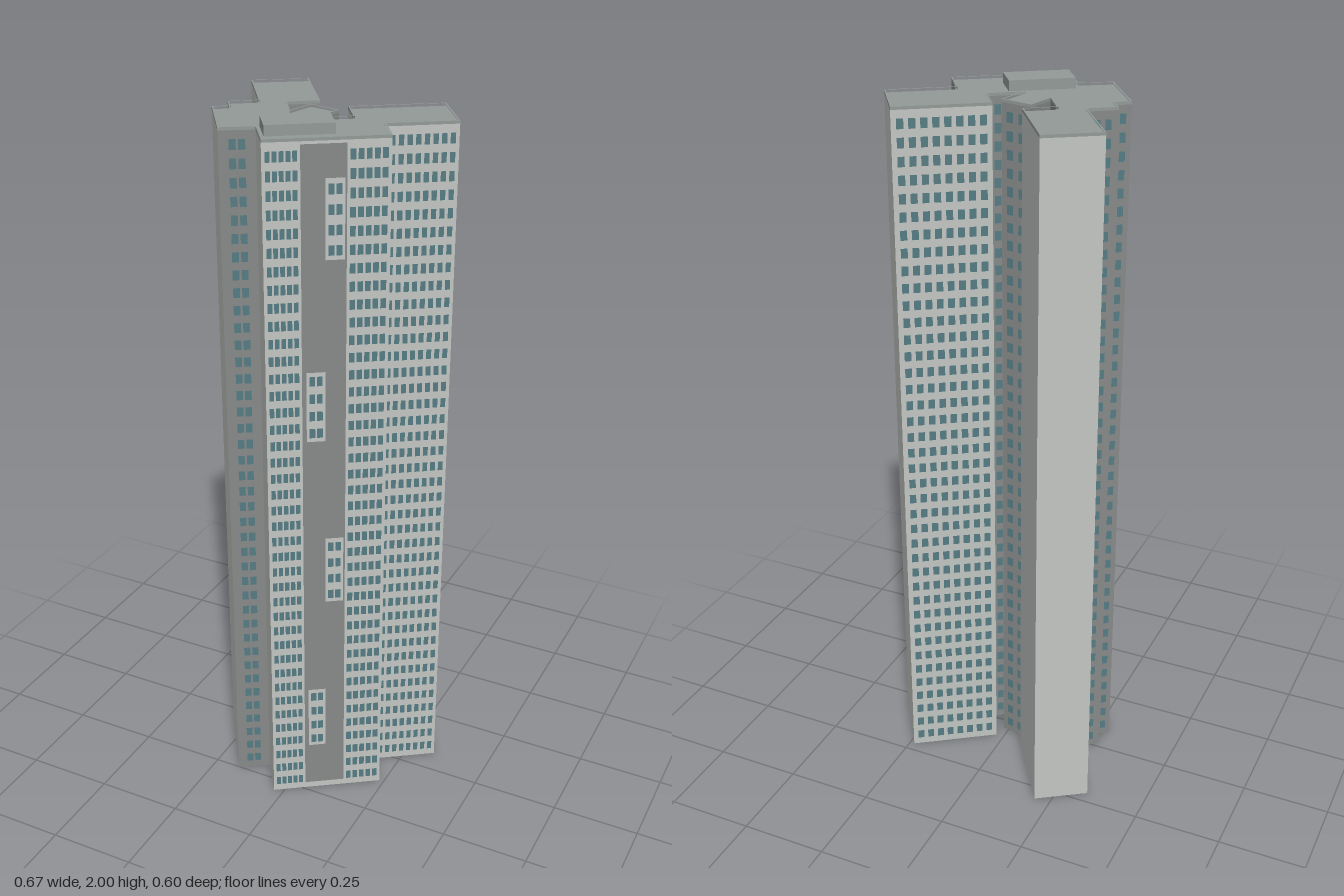
import * as THREE from 'three';
import { mergeGeometries } from 'three/addons/utils/BufferGeometryUtils.js';

const mat = (name, color, side = THREE.FrontSide) => {
  const m = new THREE.MeshStandardMaterial({ color, side });
  m.name = name;
  return m;
};

// Footprint corners as [x, z], clockwise seen from above
const PLAN = [
  [-0.335, -0.213], [-0.203, -0.3], [-0.067, -0.098], [-0.138, -0.047], [-0.091, 0.025],
  [-0.073, -0.056], [0.018, -0.035], [0.001, 0.052], [0.076, 0.002], [0.024, -0.077],
  [0.236, -0.222], [0.334, -0.075], [0.18, 0.03], [0.236, 0.117], [-0.028, 0.297],
  [-0.095, 0.2], [-0.175, 0.249], [-0.29, 0.079], [-0.254, 0.053], [-0.28, 0.014], [-0.214, -0.033],
];
const ROOF_Y = 1.972, TOP_Y = 1.98, FLOORS = 40, STEP = 1.95 / FLOORS;

// Per wall, from each corner to the next: D = dark wall, L = light wall
const TONE = 'LLDDDDDDLLLLDLLDLDLDL';

// Window columns per wall: [centre, width] as fractions of the wall length
const even = (n, a, b, fill) =>
  Array.from({ length: n }, (_, i) => [a + ((b - a) * (i + 0.5)) / n, ((b - a) / n) * fill]);
const COLUMNS = {
  2: even(2, 0.1, 0.9, 0.5),
  3: even(2, 0.1, 0.9, 0.55),
  4: even(2, 0.1, 0.9, 0.5),
  5: even(2, 0.1, 0.9, 0.55),
  6: even(2, 0.1, 0.9, 0.5),
  7: even(2, 0.1, 0.9, 0.5),
  9: even(8, 0.03, 0.97, 0.6),
  11: even(8, 0.03, 0.97, 0.62),
  12: even(2, 0.25, 0.75, 0.7),
  13: [...even(5, 0.02, 0.33, 0.72), ...even(5, 0.72, 0.98, 0.72)],
  15: even(2, 0.25, 0.75, 0.75),
  17: even(1, 0.2, 0.8, 0.6),
  19: even(2, 0.15, 0.85, 0.55),
};

// Upright rectangle on wall i, from fraction t0 to t1 and height y0 to y1
function panel(i, t0, t1, y0, y1, off = 0) {
  const [ax, az] = PLAN[i], [bx, bz] = PLAN[(i + 1) % PLAN.length];
  const dx = bx - ax, dz = bz - az, len = Math.hypot(dx, dz);
  const nx = dz / len, nz = -dx / len, t = (t0 + t1) / 2;
  return new THREE.PlaneGeometry(len * (t1 - t0), y1 - y0)
    .rotateY(Math.atan2(nx, nz))
    .translate(ax + dx * t + nx * off, (y0 + y1) / 2, az + dz * t + nz * off);
}

// Footprint moved inward by d, with mitred corners
function inset(d) {
  const n = PLAN.length;
  const dir = (i) => {
    const a = PLAN[(i + n) % n], b = PLAN[(i + 1) % n];
    const l = Math.hypot(b[0] - a[0], b[1] - a[1]);
    return [(b[1] - a[1]) / l, -(b[0] - a[0]) / l];
  };
  return PLAN.map(([x, z], i) => {
    const p = dir(i - 1), q = dir(i), k = d / (1 + p[0] * q[0] + p[1] * q[1]);
    return [x - (p[0] + q[0]) * k, z - (p[1] + q[1]) * k];
  });
}

const toPoints = (pts, s) => pts.map(([x, z]) => new THREE.Vector2(x, s * z));

export function createModel() {
  const group = new THREE.Group();
  const light = mat('light wall', 0xc2c6c3);
  const dark = mat('dark wall', 0x868a88);
  const glass = mat('window glass', 0x567c84);
  const roofing = mat('roof', 0x929a98);
  const add = (name, geometry, material) => {
    const m = new THREE.Mesh(geometry, material);
    m.name = name;
    group.add(m);
    return m;
  };

  // Walls, sorted by tone
  const walls = { L: [], D: [] };
  PLAN.forEach((_, i) => walls[TONE[i]].push(panel(i, 0, 1, 0, ROOF_Y)));
  add('lightWalls', mergeGeometries(walls.L), light);
  add('darkWalls', mergeGeometries(walls.D), dark);

  // Roof deck, underside and thin parapet
  add('roofDeck', new THREE.ShapeGeometry(new THREE.Shape(toPoints(PLAN, -1)))
    .rotateX(-Math.PI / 2).translate(0, ROOF_Y, 0), roofing);
  add('underside', new THREE.ShapeGeometry(new THREE.Shape(toPoints(PLAN, 1)))
    .rotateX(Math.PI / 2), roofing);
  const ring = new THREE.Shape(toPoints(PLAN, -1));
  ring.holes.push(new THREE.Path(toPoints(inset(0.004), -1)));
  add('parapet', new THREE.ExtrudeGeometry(ring, { depth: TOP_Y - ROOF_Y, bevelEnabled: false })
    .rotateX(-Math.PI / 2).translate(0, ROOF_Y, 0), roofing);

  // Rooftop plant room
  const room = add('plantRoom', new THREE.BoxGeometry(0.177, 2 - ROOF_Y, 0.092), roofing);
  room.position.set(-0.001, (2 + ROOF_Y) / 2, 0.158);
  room.rotation.y = Math.atan2(0.1, 0.146);

  // Tall dark strip on the main front, with staggered light bays
  add('frontStrip', panel(13, 0.345, 0.705, 0.02, 1.965, 0.002), dark);
  const bays = [[0.36, 0.515, 1.67, 1.88], [0.515, 0.67, 1.165, 1.365],
    [0.36, 0.515, 0.66, 0.865], [0.515, 0.67, 0.16, 0.36]];
  add('frontBays', mergeGeometries(bays.map(([a, b, y0, y1]) => panel(13, a, b, y0, y1, 0.004))), light);

  // Windows on every floor
  const panes = [];
  for (const [key, columns] of Object.entries(COLUMNS)) {
    for (let f = 0; f < FLOORS; f++) {
      const y = 0.022 + f * STEP;
      for (const [c, w] of columns) panes.push(panel(+key, c - w / 2, c + w / 2, y, y + 0.027, 0.002));
    }
  }
  // Paired windows in the bays
  for (const [a, b, y0, y1] of bays) {
    for (let f = 0; f < 4; f++) {
      const y = y0 + 0.012 + (f * (y1 - y0)) / 4;
      for (const [c, w] of even(2, a + 0.015, b - 0.015, 0.75))
        panes.push(panel(13, c - w / 2, c + w / 2, y, y + 0.027, 0.006));
    }
  }
  add('windows', mergeGeometries(panes), glass);

  return group;
}
